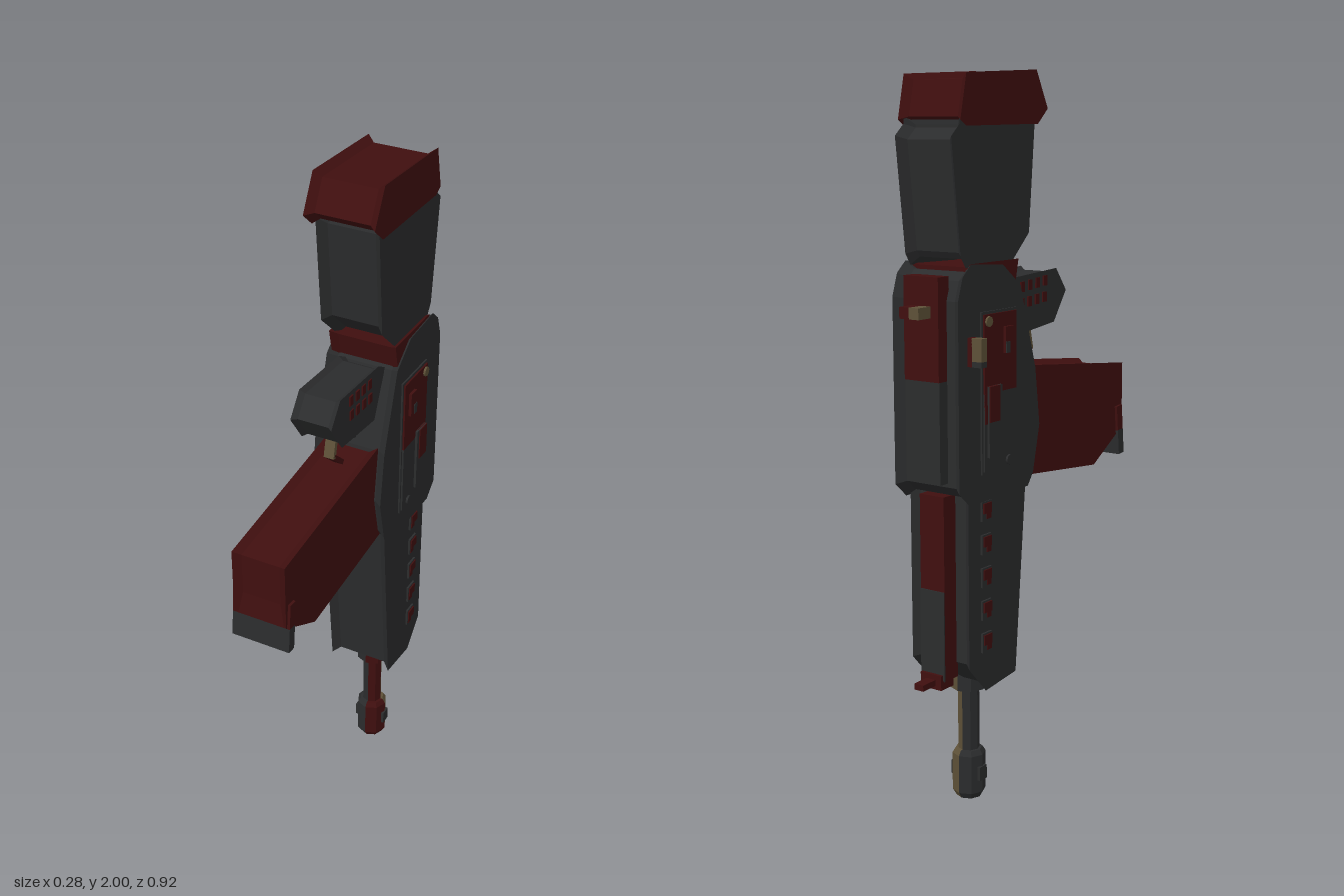
import * as THREE from 'three';

const CX = 0.012; // centre line of the body

export function createModel() {
  const mat = (name, color) => Object.assign(new THREE.MeshStandardMaterial({ color }), { name });
  const grey = mat('dark grey', 0x2b2c2d);
  const red = mat('deep red', 0x400f0f);
  const tan = mat('dull tan', 0x5e5138);

  const model = new THREE.Group();
  model.name = 'rifle';

  const add = (name, geo, material, parent = model) => {
    const mesh = new THREE.Mesh(geo, material);
    mesh.name = name;
    parent.add(mesh);
    return mesh;
  };

  // Box from its lowest and highest corners
  const box = (name, material, [x0, x1], [y0, y1], [z0, z1]) => {
    const geo = new THREE.BoxGeometry(x1 - x0, y1 - y0, z1 - z0);
    const mesh = add(name, geo, material);
    mesh.position.set((x0 + x1) / 2, (y0 + y1) / 2, (z0 + z1) / 2);
    return mesh;
  };

  // Side profile of [z, y] points as a counter-clockwise loop seen from +x
  const loopOf = (profile) => {
    const pts = profile.map(([z, y]) => new THREE.Vector2(-z, y));
    return THREE.ShapeUtils.area(pts) < 0 ? pts.reverse() : pts;
  };

  // Move every edge of a loop inwards and rejoin the corners
  const insetLoop = (pts, d) => pts.map((p, i) => {
    const n = pts.length;
    const a = p.clone().sub(pts[(i + n - 1) % n]).normalize();
    const b = pts[(i + 1) % n].clone().sub(p).normalize();
    const na = new THREE.Vector2(-a.y, a.x), nb = new THREE.Vector2(-b.y, b.x);
    return na.clone().add(nb).multiplyScalar(d / (1 + na.dot(nb))).add(p);
  });

  // Slab whose two side faces stand proud of a sunken middle band
  const flared = (name, material, profile, half, inset = 0.018, rim = 0.022) => {
    const outer = loopOf(profile), inner = insetLoop(outer, inset);
    const rings = [[-half, outer], [-half + rim, inner], [half - rim, inner], [half, outer]];
    const pos = [];
    const put = (x, p) => pos.push(CX + x, p.y, -p.x);
    for (let r = 0; r < 3; r++) {
      const [x0, A] = rings[r], [x1, B] = rings[r + 1];
      A.forEach((p, i) => {
        const j = (i + 1) % A.length;
        put(x0, p); put(x0, A[j]); put(x1, B[j]);
        put(x0, p); put(x1, B[j]); put(x1, B[i]);
      });
    }
    for (const [a, b, c] of THREE.ShapeUtils.triangulateShape(outer, [])) {
      put(half, outer[a]); put(half, outer[b]); put(half, outer[c]);
      put(-half, outer[c]); put(-half, outer[b]); put(-half, outer[a]);
    }
    const geo = new THREE.BufferGeometry();
    geo.setAttribute('position', new THREE.Float32BufferAttribute(pos, 3));
    geo.computeVertexNormals();
    return add(name, geo, material);
  };

  // Upright eight-sided tube painted in quarters: red, tan, grey, grey
  const quartered = (name, y0, y1, rBottom, rTop) => {
    const group = new THREE.Group();
    group.name = name;
    [red, tan, grey, grey].forEach((m, q) => {
      const geo = new THREE.CylinderGeometry(rTop, rBottom, y1 - y0, 2, 1, false, q * Math.PI / 2, Math.PI / 2);
      add(name + 'Quarter', geo.toNonIndexed(), m, group).geometry.computeVertexNormals();
    });
    group.position.set(CX, (y0 + y1) / 2, -0.22);
    model.add(group);
  };

  // Stock with its butt pad and neck
  flared('buttPad', red, [[0.016, 1.9], [-0.037, 2], [-0.344, 1.985], [-0.37, 1.87], [-0.345, 1.855], [-0.03, 1.86]], 0.1, 0.016);
  flared('stock', grey, [[-0.03, 1.88], [-0.36, 1.88], [-0.36, 1.86], [-0.395, 1.83], [-0.36, 1.53],
    [-0.34, 1.5], [-0.15, 1.49], [-0.057, 1.575]], 0.09, 0.022);
  flared('neck', red, [[-0.12, 1.51], [-0.33, 1.51], [-0.33, 1.42], [-0.14, 1.42]], 0.1, 0.01);

  // Receiver and fore-end
  flared('receiver', grey, [[-0.2, 1.5], [-0.34, 1.51], [-0.375, 1.48], [-0.395, 1.42], [-0.395, 0.92], [-0.35, 0.88],
    [-0.085, 0.885], [-0.06, 0.92], [-0.03, 1.05], [-0.05, 1.21], [-0.12, 1.44]], 0.107, 0.02, 0.025);
  flared('foreEnd', grey, [[-0.08, 0.93], [-0.344, 0.93], [-0.344, 0.425], [-0.27, 0.345], [-0.13, 0.36]], 0.097);

  // Magazine with its foot
  flared('magazine', red, [[0.455, 1.157], [-0.07, 1.215], [-0.1, 0.91], [0.3, 0.87], [0.455, 0.96]], 0.078, 0.012);
  const foot = new THREE.Group();
  foot.name = 'magazineFoot';
  foot.position.set(CX, 0.955, 0.436);
  foot.rotation.x = -0.1;
  add('footUpper', new THREE.BoxGeometry(0.172, 0.075, 0.028), red, foot).position.y = 0.037;
  add('footLower', new THREE.BoxGeometry(0.172, 0.075, 0.028), grey, foot).position.y = -0.037;
  model.add(foot);

  // Grip with two rows of slots on each side
  flared('grip', grey, [[0.12, 1.465], [0.17, 1.4], [0.11, 1.315], [-0.08, 1.295], [-0.14, 1.43], [-0.1, 1.453]], 0.06, 0.01, 0.015);
  for (const side of [-1, 1]) for (let i = 0; i < 4; i++) for (const row of [0, 1]) {
    const slot = add('gripSlot', new THREE.BoxGeometry(0.006, 0.028, 0.018), red);
    slot.position.set(CX + side * 0.061, 1.435 - row * 0.045 - i * 0.003, 0.062 - i * 0.036 - row * 0.003);
  }

  // Trigger guard and trigger, thin bars between two [z, y] points
  const bar = (name, material, [z0, y0], [z1, y1], width) => {
    const geo = new THREE.BoxGeometry(width, 0.014, Math.hypot(z1 - z0, y1 - y0));
    const mesh = add(name, geo, material);
    mesh.position.set(CX, (y0 + y1) / 2, (z0 + z1) / 2);
    mesh.rotation.x = -Math.atan2(y1 - y0, z1 - z0);
  };
  bar('guardUpper', tan, [0.05, 1.31], [0.066, 1.24], 0.03);
  bar('guardLower', red, [0.066, 1.245], [0.015, 1.2], 0.03);
  bar('trigger', grey, [0.022, 1.277], [-0.06, 1.245], 0.03);

  // Side panels, mirrored
  for (const s of [-1, 1]) {
    const span = (a, b) => [Math.min(CX + s * a, CX + s * b), Math.max(CX + s * a, CX + s * b)];
    box('panelFrame', grey, span(0.1, 0.112), [0.955, 1.385], [-0.302, -0.148]);
    box('panelUpper', red, span(0.108, 0.117), [1.17, 1.378], [-0.296, -0.154]);
    box('panelLower', grey, span(0.108, 0.117), [0.963, 1.17], [-0.296, -0.154]);
    box('panelCorner', red, span(0.11, 0.118), [1.09, 1.17], [-0.296, -0.232]);
    box('panelLatch', red, span(0.112, 0.125), [1.27, 1.34], [-0.212, -0.178]);
    box('panelLatchMark', grey, span(0.122, 0.127), [1.27, 1.3], [-0.212, -0.195]);
    box('panelSlide', grey, span(0.112, 0.124), [1.0, 1.19], [-0.285, -0.228]);
    box('panelSlideTop', red, span(0.118, 0.127), [1.095, 1.19], [-0.285, -0.24]);
    for (const [y, z, m] of [[0.98, -0.19, grey], [1.36, -0.28, tan]]) {
      const screw = add('panelScrew', new THREE.CylinderGeometry(0.014, 0.014, 0.012, 8), m);
      screw.rotation.z = Math.PI / 2;
      screw.position.set(CX + s * 0.117, y, z);
    }

    // Row of vents along the fore-end
    for (let i = 0; i < 5; i++) {
      const y = 0.852 - i * 0.0915;
      box('ventFrame', grey, span(0.095, 0.103), [y - 0.027, y + 0.027], [-0.291, -0.249]);
      box('ventUpper', red, span(0.1, 0.107), [y - 0.006, y + 0.022], [-0.287, -0.253]);
      box('ventLower', red, span(0.1, 0.105), [y - 0.022, y - 0.006], [-0.272, -0.253]);
    }
  }

  // Charging handle on the right side
  box('chargingHandleStem', red, [-0.11, -0.08], [1.25, 1.325], [-0.357, -0.333]);
  box('chargingHandleTip', tan, [-0.14, -0.108], [1.265, 1.325], [-0.357, -0.333]);
  box('chargingHandleBase', grey, [-0.14, -0.108], [1.25, 1.265], [-0.357, -0.333]);

  // Rail on the back with its knob
  box('railUpper', red, [CX - 0.055, CX + 0.057], [1.21, 1.48], [-0.41, -0.365]);
  box('railLower', grey, [CX - 0.055, CX + 0.057], [0.94, 1.21], [-0.408, -0.365]);
  box('knobLeft', red, [CX, CX + 0.031], [1.375, 1.405], [-0.46, -0.4]);
  box('knobRight', tan, [CX - 0.031, CX], [1.375, 1.405], [-0.46, -0.4]);

  // Slide bar behind the fore-end with its end pin
  box('slideBar', red, [CX - 0.04, CX + 0.04], [0.39, 0.9], [-0.376, -0.32]);
  box('slideBarCover', grey, [CX - 0.04, CX + 0.04], [0.39, 0.64], [-0.379, -0.375]);
  box('slideEnd', red, [CX - 0.035, CX + 0.035], [0.367, 0.408], [-0.388, -0.335]);
  box('slidePin', red, [CX - 0.015, CX + 0.015], [0.377, 0.394], [-0.44, -0.38]);

  // Barrel, collar and muzzle
  quartered('barrelCollar', 0.322, 0.375, 0.05, 0.05);
  quartered('barrel', 0.12, 0.34, 0.03, 0.03);
  quartered('muzzleTop', 0.128, 0.142, 0.047, 0.038);
  quartered('muzzle', 0.018, 0.128, 0.047, 0.047);
  quartered('muzzleTip', 0, 0.018, 0.036, 0.047);
  for (const s of [-1, 1]) {
    box('muzzlePort', grey, [CX + s * 0.046 - 0.004, CX + s * 0.046 + 0.004], [0.055, 0.095], [-0.236, -0.204]);
  }
  return model;
}
